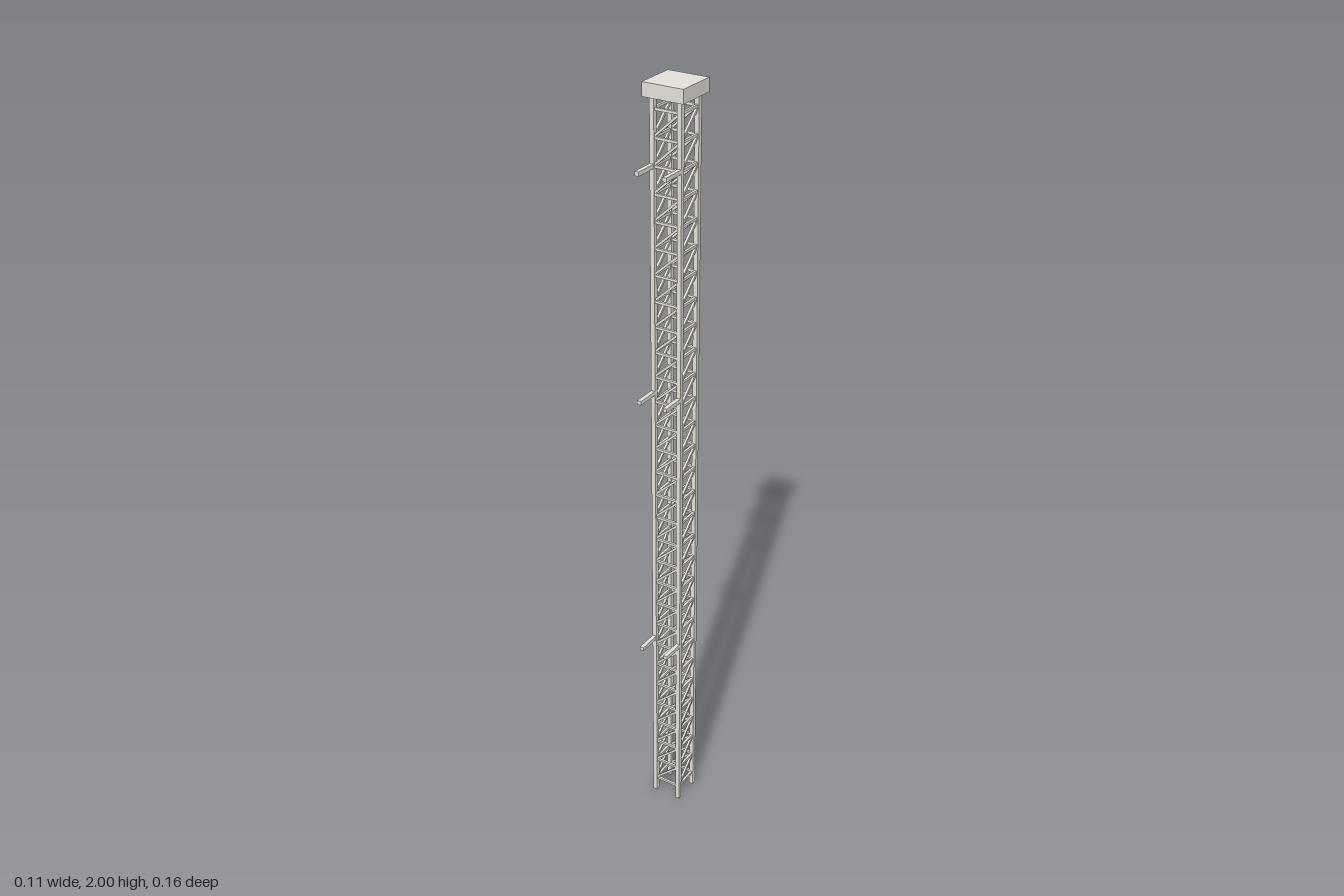
import * as THREE from 'three';

const material = new THREE.MeshStandardMaterial({ color: 0xe5e1d9 });
const UP = new THREE.Vector3(0, 1, 0);

// Square bar running from point a to point b
function bar(name, a, b, width) {
  const dir = b.clone().sub(a);
  const mesh = new THREE.Mesh(new THREE.BoxGeometry(width, dir.length(), width), material);
  mesh.position.copy(a).add(b).multiplyScalar(0.5);
  mesh.quaternion.setFromUnitVectors(UP, dir.normalize());
  mesh.name = name;
  return mesh;
}

export function createModel() {
  const tower = new THREE.Group();
  tower.name = 'latticeTower';
  const half = 0.036, centerZ = -0.025;
  const capHeight = 0.033, capBottom = 2 - capHeight;
  const bays = 29, firstRung = 0.04, step = 0.0655;

  const at = ([sx, sz], y) => new THREE.Vector3(sx * half, y, centerZ + sz * half);
  const corners = [[-1, 1], [1, 1], [1, -1], [-1, -1]];

  // Corner posts
  for (const c of corners) tower.add(bar('post', at(c, 0), at(c, capBottom), 0.0115));

  // Each face: the diagonals climb from its first corner to its second,
  // so opposite faces line up
  const faces = [
    ['front', corners[0], corners[1]],
    ['back', corners[3], corners[2]],
    ['left', corners[1], corners[2]],
    ['right', corners[0], corners[3]],
  ];
  for (const [side, from, to] of faces) {
    const lattice = new THREE.Group();
    lattice.name = side + 'Lattice';
    for (let i = 0; i <= bays; i++) {
      const y = firstRung + i * step;
      lattice.add(bar('rung', at(from, y), at(to, y), 0.0065));
      if (i < bays) lattice.add(bar('diagonal', at(from, y), at(to, y + step), 0.006));
    }
    tower.add(lattice);
  }

  // Pairs of mounting arms reaching forward from the front posts
  for (const y of [0.521, 1.243, 1.81]) {
    for (const sx of [-1, 1]) {
      const start = at([sx, 1], y);
      const end = start.clone().setZ(0.078);
      tower.add(bar('mountingArm', start, end, 0.0105));
    }
  }

  // Square cap
  const cap = new THREE.Mesh(new THREE.BoxGeometry(0.107, capHeight, 0.107), material);
  cap.position.set(0, 2 - capHeight / 2, -0.0245);
  cap.name = 'cap';
  tower.add(cap);
  return tower;
}
